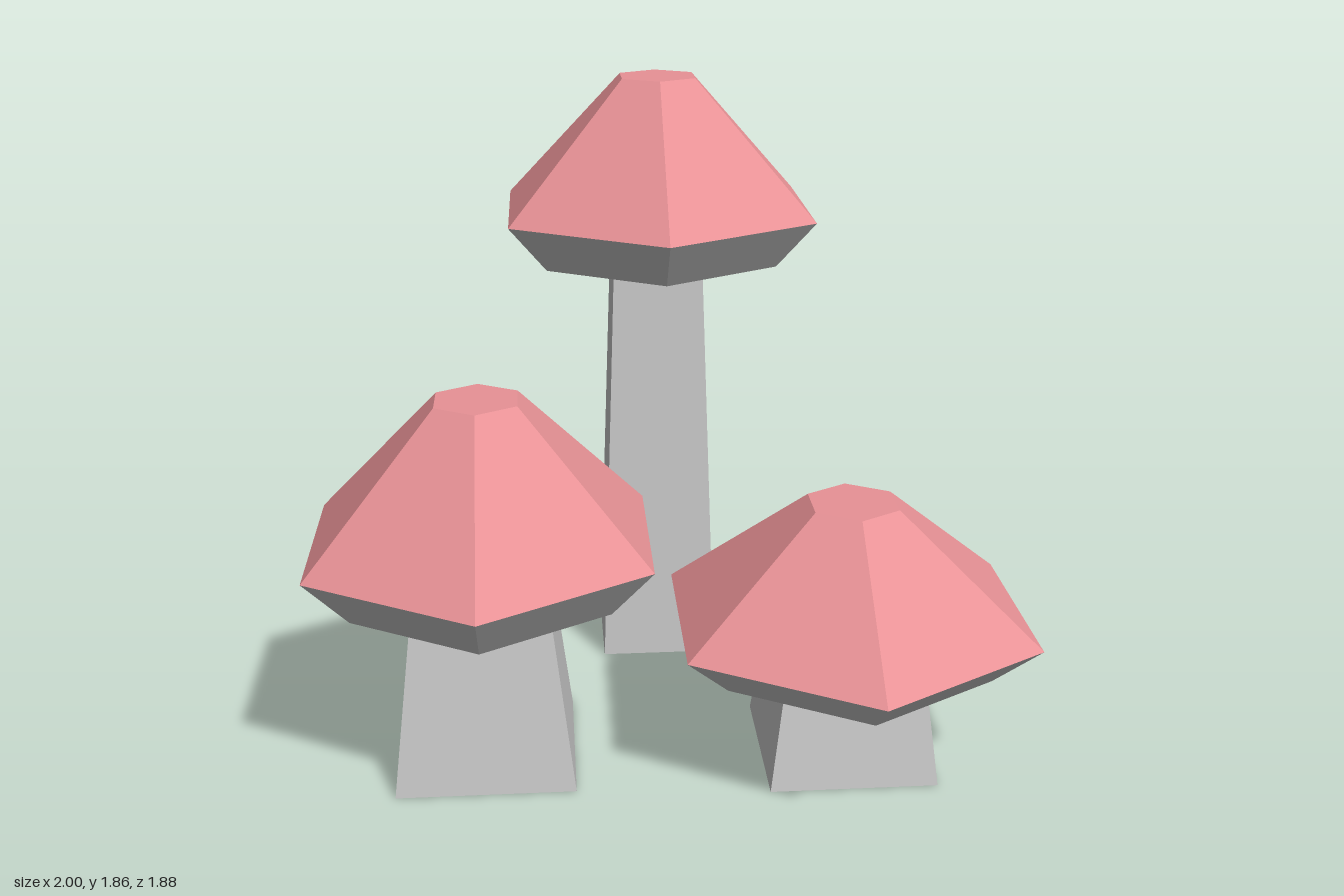
import * as THREE from 'three';

const grey = new THREE.MeshStandardMaterial({ color: 0xcccccc, flatShading: true });
const pink = new THREE.MeshStandardMaterial({ color: 0xe89296, flatShading: true });

// Six-sided shell from [radius, height] pairs, listed bottom to top
function hexShell(name, profile, material) {
  const points = profile.map(([r, y]) => new THREE.Vector2(r, y));
  const mesh = new THREE.Mesh(new THREE.LatheGeometry(points, 6), material);
  mesh.name = name;
  return mesh;
}

// under, rim and top are [radius, height]; stem gives half widths at foot and neck
function mushroom({ name, x, z, under, rim, top, foot, neck }) {
  const group = new THREE.Group();
  group.name = name;
  group.position.set(x, 0, z);

  // Tapered square stem, set slightly behind the cap's axis
  const height = under[1];
  const stemGeometry = new THREE.CylinderGeometry(neck * Math.SQRT2, foot * Math.SQRT2, height, 4);
  stemGeometry.rotateY(Math.PI / 4);
  const stem = new THREE.Mesh(stemGeometry, grey);
  stem.name = 'stem';
  stem.position.set(-0.005, height / 2, -0.024);

  group.add(
    stem,
    hexShell('capUnderside', [[0, under[1]], under, rim], grey),
    hexShell('capTop', [rim, top, [0, top[1]]], pink)
  );
  return group;
}

export function createModel() {
  const model = new THREE.Group();
  model.name = 'mushroomCluster';
  model.add(
    mushroom({ name: 'tallMushroom', x: 0.015, z: -0.415, under: [0.398, 1.315], rim: [0.525, 1.46], top: [0.126, 1.86], foot: 0.18, neck: 0.135 }),
    mushroom({ name: 'mediumMushroom', x: -0.531, z: 0.315, under: [0.41, 0.54], rim: [0.541, 0.688], top: [0.13, 1.1], foot: 0.254, neck: 0.19 }),
    mushroom({ name: 'shortMushroom', x: 0.508, z: 0.374, under: [0.426, 0.328], rim: [0.563, 0.45], top: [0.136, 0.79], foot: 0.239, neck: 0.197 })
  );
  return model;
}
